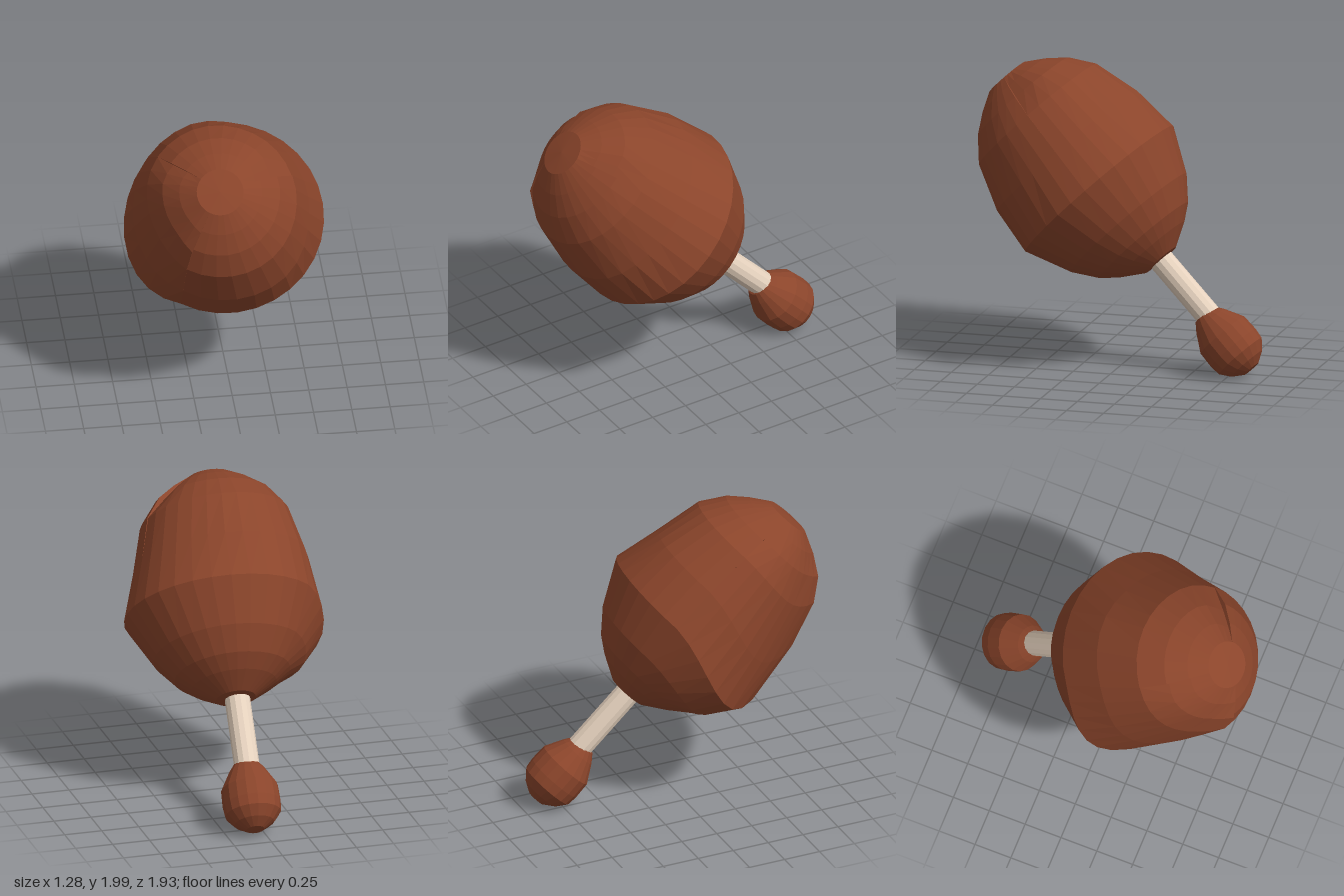
import * as THREE from 'three';

const BROWN = 0x8b452b, CREAM = 0xe6d2be;
const smooth = THREE.MathUtils.smoothstep;

function mesh(geometry, color, name) {
  const material = new THREE.MeshStandardMaterial({ color, flatShading: true, side: THREE.DoubleSide });
  const m = new THREE.Mesh(geometry, material);
  m.name = name;
  return m;
}

// Turned skin made of angular sectors (degrees); each sector displaces its
// profile by a rule, and the jump between sectors is closed with a wall.
function sectorLathe(profile, sectors) {
  const columns = [];
  for (const { from, to, steps, rule } of sectors) {
    for (let i = 0; i <= steps; i++) {
      const f = i / steps;
      const a = THREE.MathUtils.degToRad(from + (to - from) * f);
      columns.push(profile.map(([t, r]) => {
        const [tt, rr] = rule(t, r, f);
        return [rr * Math.cos(a), tt, -rr * Math.sin(a)];
      }));
    }
  }
  const n = profile.length, index = [];
  columns.forEach((_, c) => {
    const d = (c + 1) % columns.length;
    for (let j = 0; j < n - 1; j++) {
      const a = c * n + j, b = d * n + j;
      index.push(a, b, b + 1, a, b + 1, a + 1);
    }
  });
  const g = new THREE.BufferGeometry();
  g.setAttribute('position', new THREE.Float32BufferAttribute(columns.flat(2), 3));
  g.setIndex(index);
  return g;
}

export function createModel() {
  const leaning = new THREE.Group();
  leaning.name = 'coatedStick';

  // Large coated head: [height along the axis, radius]
  const headProfile = [
    [-0.62, 0], [-0.61, 0.13], [-0.52, 0.278], [-0.44, 0.378], [-0.29, 0.493], [0, 0.628],
    [0.32, 0.6], [0.63, 0.503], [0.78, 0.388], [0.873, 0.27], [0.945, 0.152], [0.955, 0],
  ];
  const tipBand = (t) => smooth(t, 0.6, 0.78) * (1 - smooth(t, 0.88, 0.95));
  const shoulder = (t) => 0.08 * smooth(t, 0.05, 0.3) * (1 - smooth(t, 0.3, 0.8));
  const head = sectorLathe(headProfile, [
    // rear piece: flat shoulder, chipped next to the front piece
    { from: 15, to: 140, steps: 11, rule: (t, r, f) => {
      const flat = shoulder(t) * (1 - smooth(f, 0.35, 0.75));
      const chip = 0.1 * tipBand(t) * (1 - smooth(f, 0, 0.25));
      return [t, r * (1 - flat - chip)];
    } },
    // side flap: sags into a low corner, flatter above it
    { from: 140, to: 239, steps: 9, rule: (t, r, f) => {
      const low = Math.sin(Math.PI * f ** 1.5);
      const sag = 0.2 * smooth(t, -0.5, -0.05) * (1 - smooth(t, 0.1, 0.95)) * low;
      const bulge = 0.04 * smooth(t, -0.4, 0) * (1 - smooth(t, 0, 0.3)) * low;
      const flat = 0.07 * smooth(t, 0.2, 0.5) * (1 - smooth(t, 0.8, 0.95)) * low;
      const edge = tipBand(t) * (0.05 * smooth(f, 0.8, 1) - 0.06 * (1 - smooth(f, 0, 0.2)));
      return [t - sag, r * (1 + bulge - flat + edge)];
    } },
    // front piece: shoulder flattens towards its free edge
    { from: 239, to: 375, steps: 12, rule: (t, r, f) =>
      [t, r * (1 - shoulder(t) * smooth(f, 0.45, 0.85) + 0.02 * tipBand(t) * smooth(f, 0.75, 1))] },
  ]);
  // fuller left flank, tip drawn over to the right
  const p = head.attributes.position;
  for (let i = 0; i < p.count; i++) {
    const x = p.getX(i), t = p.getY(i);
    const bulge = x > 0 ? 0.04 * smooth(t, -0.4, 0) * (1 - smooth(t, 0, 0.3)) : 0;
    p.setX(i, x * (1 + bulge) - 0.035 * smooth(t, 0.3, 0.8));
  }
  head.computeVertexNormals();
  leaning.add(mesh(head, BROWN, 'head'));

  // Straight stick
  const stick = mesh(new THREE.CylinderGeometry(0.083, 0.083, 0.75, 14), CREAM, 'stick');
  stick.position.set(-0.01, -0.85, 0);
  leaning.add(stick);

  // Small end knob
  const knobProfile = [
    [0, -1.535], [0.06, -1.53], [0.13, -1.485], [0.182, -1.42], [0.19, -1.35],
    [0.186, -1.24], [0.12, -1.12], [0.08, -1.065], [0, -1.06],
  ].map(([r, t]) => new THREE.Vector2(r, t));
  const knob = mesh(new THREE.LatheGeometry(knobProfile, 18), BROWN, 'knob');
  knob.position.set(-0.01, 0, 0.015);
  leaning.add(knob);

  // Lean the whole piece along its long axis
  const axis = new THREE.Vector3(-0.07, 0.715, 0.695).normalize();
  const z = new THREE.Vector3(1, 0, 0).cross(axis).normalize();
  const x = axis.clone().cross(z);
  leaning.quaternion.setFromRotationMatrix(new THREE.Matrix4().makeBasis(x, axis, z));
  leaning.position.set(-0.015, 1.165, 0.15);

  const model = new THREE.Group();
  model.name = 'model';
  model.add(leaning);
  return model;
}
